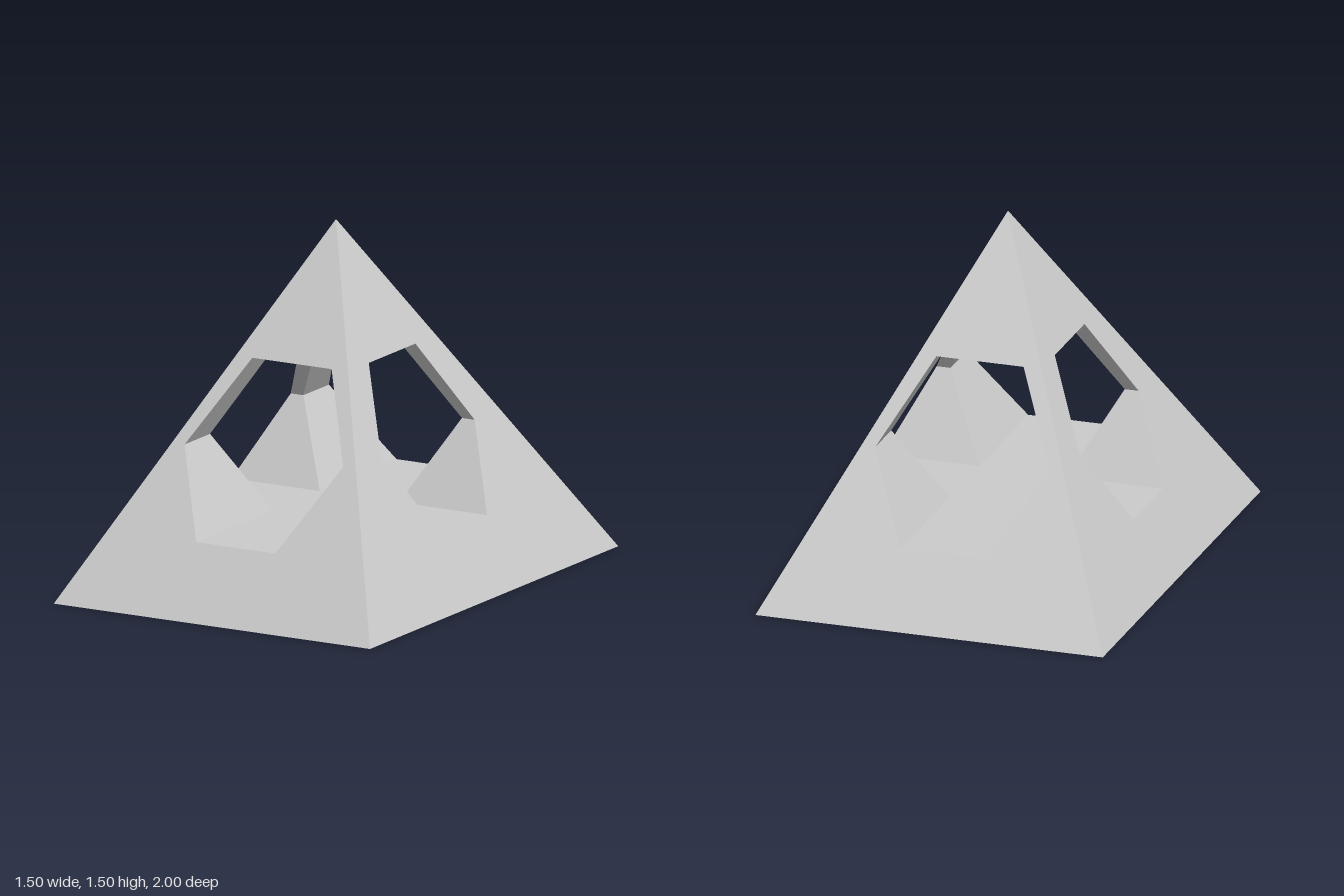
import * as THREE from 'three';

const H = 1.5, HALF_X = 0.75, HALF_Z = 1;
const Y_LOW = 0.289, Y_MID = 0.628, Y_HIGH = 0.968, W = 0.376, W2 = 0.188;
// Hexagonal opening, counter-clockwise from its lower left corner
const HEX = [[-W2, Y_LOW], [W2, Y_LOW], [W, Y_MID], [W2, Y_HIGH], [-W2, Y_HIGH], [-W, Y_MID]];

const material = new THREE.MeshStandardMaterial({ color: 0xcccccc, flatShading: true });

function part(name, geometry) {
  const mesh = new THREE.Mesh(geometry, material);
  mesh.name = name;
  return mesh;
}

// Sloped triangular face with its hexagonal hole, leaning back to the apex
function slopedFace(half, depthAt) {
  const shape = new THREE.Shape([[-half, 0], [half, 0], [0, H]].map(p => new THREE.Vector2(...p)));
  shape.holes.push(new THREE.Path(HEX.map(p => new THREE.Vector2(...p))));
  const geometry = new THREE.ShapeGeometry(shape);
  const pos = geometry.attributes.position;
  for (let i = 0; i < pos.count; i++) pos.setZ(i, depthAt(pos.getY(i)));
  geometry.computeVertexNormals();
  return geometry;
}

// Tunnel walls from the sloped face to the mitre where the two tunnels cross
function tunnelWalls(depthAt) {
  const points = [];
  HEX.forEach(([ax, ay], i) => {
    const [bx, by] = HEX[(i + 1) % HEX.length];
    const aOut = [ax, ay, depthAt(ay)], bOut = [bx, by, depthAt(by)];
    const aIn = [ax, ay, Math.abs(ax)], bIn = [bx, by, Math.abs(bx)];
    points.push(...aOut, ...bOut, ...bIn, ...aOut, ...bIn, ...aIn);
  });
  const geometry = new THREE.BufferGeometry();
  geometry.setAttribute('position', new THREE.Float32BufferAttribute(points, 3));
  geometry.computeVertexNormals();
  return geometry;
}

// Horizontal rectangle facing up or down
function level(name, width, depth, y, up) {
  const mesh = part(name, new THREE.PlaneGeometry(width, depth));
  mesh.rotation.x = up ? -Math.PI / 2 : Math.PI / 2;
  mesh.position.y = y;
  return mesh;
}

export function createModel() {
  const model = new THREE.Group();
  model.name = 'piercedPyramid';

  // Four sides, each a sloped face with one tunnel arm
  ['front', 'left', 'back', 'right'].forEach((name, i) => {
    const [half, depth] = i % 2 ? [HALF_Z, HALF_X] : [HALF_X, HALF_Z];
    const depthAt = y => depth * (1 - y / H);
    const side = new THREE.Group();
    side.name = name + 'Side';
    side.add(part(name + 'Face', slopedFace(half, depthAt)), part(name + 'Tunnel', tunnelWalls(depthAt)));
    side.rotation.y = i * Math.PI / 2;
    model.add(side);
  });

  // Base, and the squares of floor and ceiling at the tunnel crossing
  model.add(
    level('base', 2 * HALF_X, 2 * HALF_Z, 0, false),
    level('crossingFloor', 2 * W2, 2 * W2, Y_LOW, true),
    level('crossingCeiling', 2 * W2, 2 * W2, Y_HIGH, false),
  );
  return model;
}
